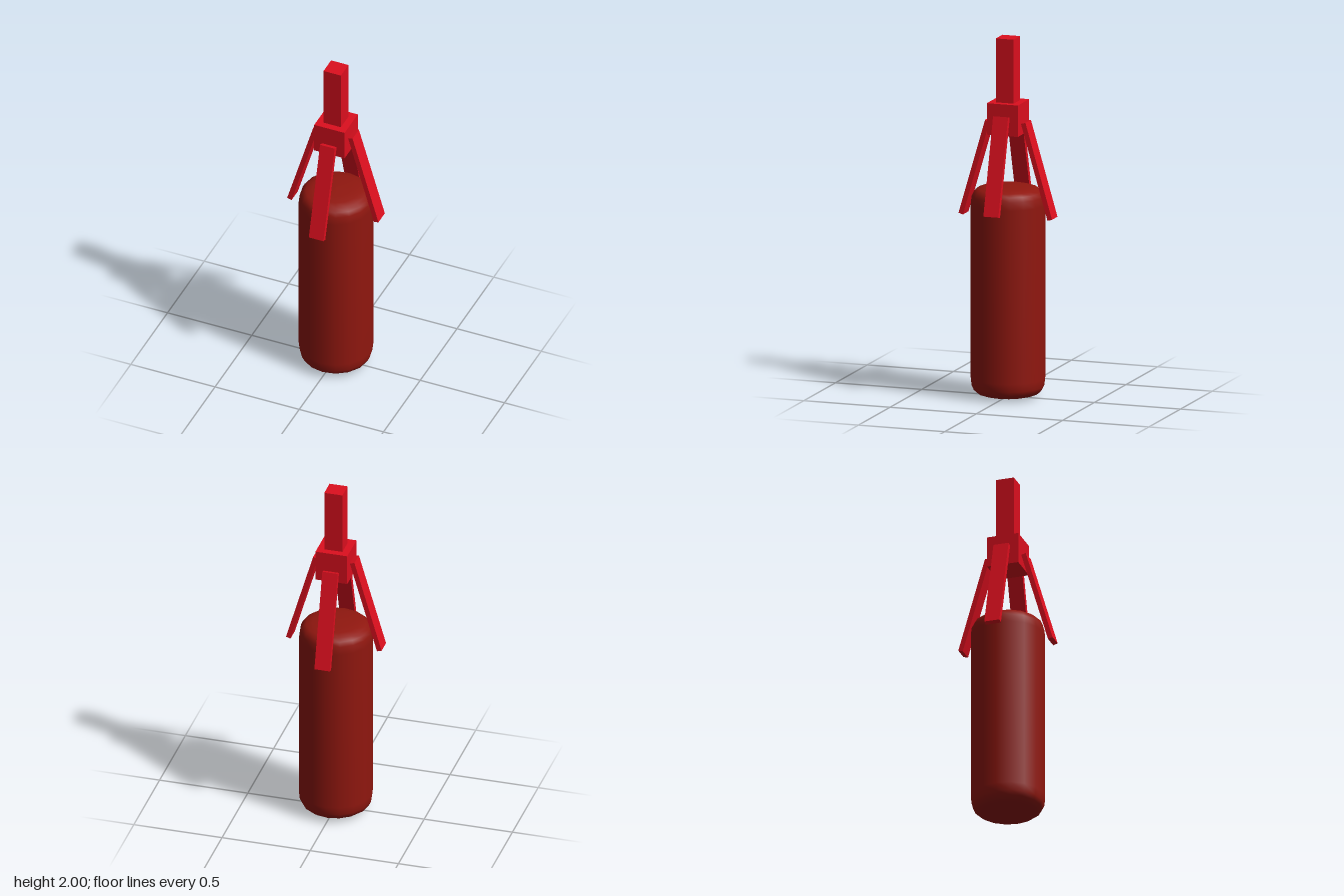
import * as THREE from 'three';

export function createModel() {
  const model = new THREE.Group();
  const frameRed = new THREE.MeshStandardMaterial({ color: 0xdc0f1e });
  const tankRed = new THREE.MeshStandardMaterial({ color: 0x90170f });

  function addBox(name, w, h, d, y, parent = model) {
    const mesh = new THREE.Mesh(new THREE.BoxGeometry(w, h, d), frameRed);
    mesh.name = name;
    mesh.position.y = y;
    parent.add(mesh);
    return mesh;
  }

  // Hanging cylinder with softly rounded, slightly domed ends
  const lower = [
    [0, 0.005], [0.08, 0.008], [0.13, 0.014], [0.165, 0.024],
    [0.186, 0.04], [0.198, 0.065], [0.203, 0.11],
  ];
  const upper = lower.map(([r, y]) => [r, 1.185 - y]).reverse();
  const profile = [...lower, ...upper].map(([r, y]) => new THREE.Vector2(r, y));
  const tank = new THREE.Mesh(new THREE.LatheGeometry(profile, 16), tankRed);
  tank.name = 'cylinderBody';
  model.add(tank);

  // Post and the block the arms hang from
  addBox('post', 0.103, 0.36, 0.103, 1.82);
  addBox('armBlock', 0.18, 0.175, 0.18, 1.557);

  // Four splayed arms; the front and back pair sits a little lower
  const names = ['leftArm', 'backArm', 'rightArm', 'frontArm'];
  names.forEach((name, i) => {
    const pivot = new THREE.Group();
    pivot.name = name;
    pivot.rotation.y = (i * Math.PI) / 2;
    const arm = addBox(name + 'Bar', 0.027, 0.55, 0.087, i % 2 ? 1.273 : 1.313, pivot);
    arm.position.x = 0.181;
    arm.rotation.z = 0.284;
    model.add(pivot);
  });

  return model;
}
